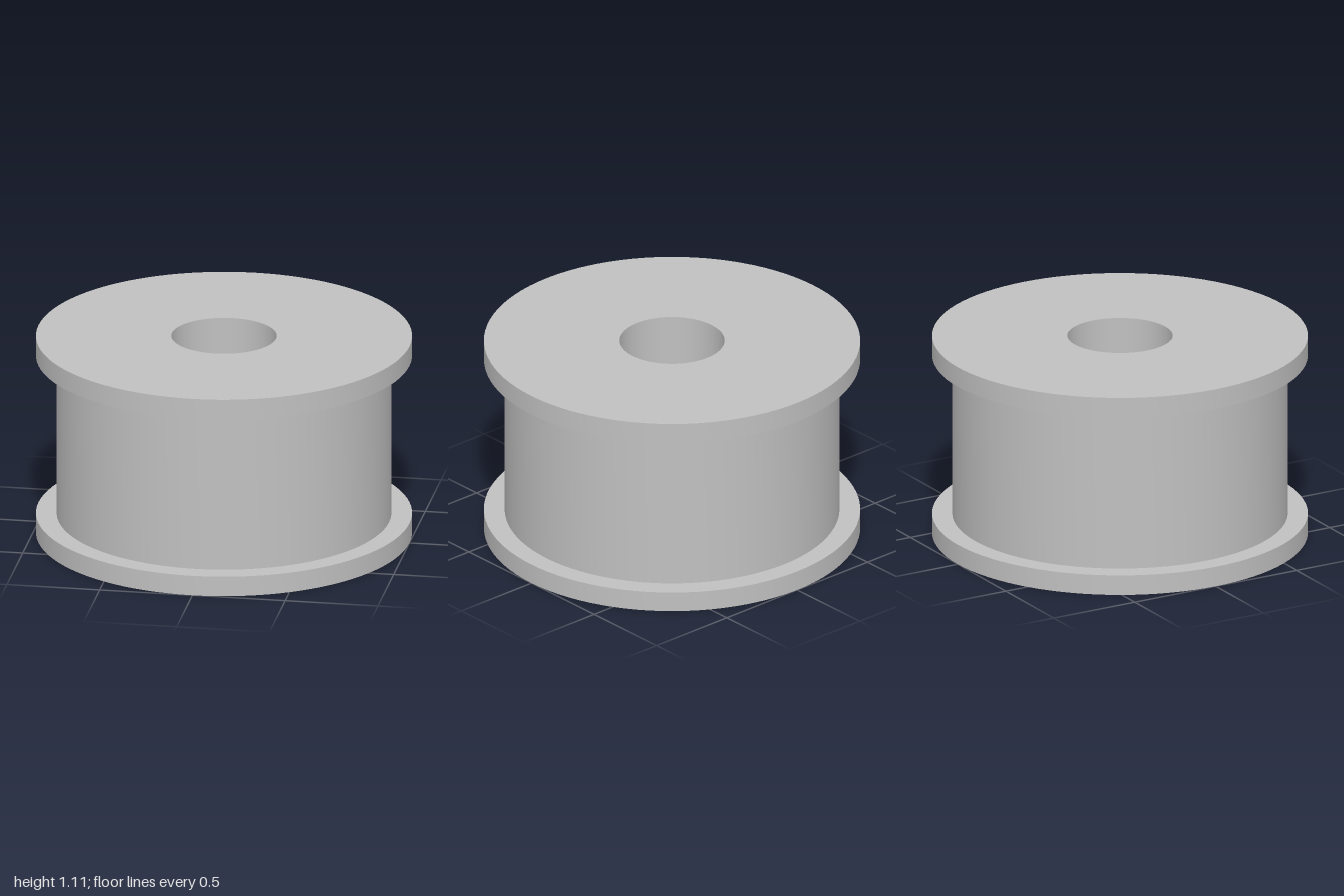
import * as THREE from 'three';
import { toCreasedNormals } from 'three/addons/utils/BufferGeometryUtils.js';

const RIM = 1, CORE = 0.89, BORE = 0.28; // radii
const HEIGHT = 1.11, FLANGE = 0.11;      // total height, flange thickness
const SEGMENTS = 96;

export function createModel() {
  const greyPlastic = new THREE.MeshStandardMaterial({ color: 0xc0c0c0 });
  greyPlastic.name = 'greyPlastic';

  const spool = new THREE.Group();
  spool.name = 'spool';

  // Revolve a [radius, height] profile, keeping the rims sharp
  const addRing = (name, profile) => {
    const points = profile.map(([r, y]) => new THREE.Vector2(r, y));
    const geometry = toCreasedNormals(new THREE.LatheGeometry(points, SEGMENTS), 0.6);
    const mesh = new THREE.Mesh(geometry, greyPlastic);
    mesh.name = name;
    spool.add(mesh);
  };

  const top = HEIGHT - FLANGE;

  // Flanges at both ends
  addRing('bottomFlange', [[BORE, 0], [RIM, 0], [RIM, FLANGE], [CORE, FLANGE]]);
  addRing('topFlange', [[CORE, top], [RIM, top], [RIM, HEIGHT], [BORE, HEIGHT]]);

  // Drum between the flanges
  addRing('drum', [[CORE, FLANGE], [CORE, top]]);

  // Wall of the through hole, facing inwards
  addRing('bore', [[BORE, HEIGHT], [BORE, 0]]);

  return spool;
}
